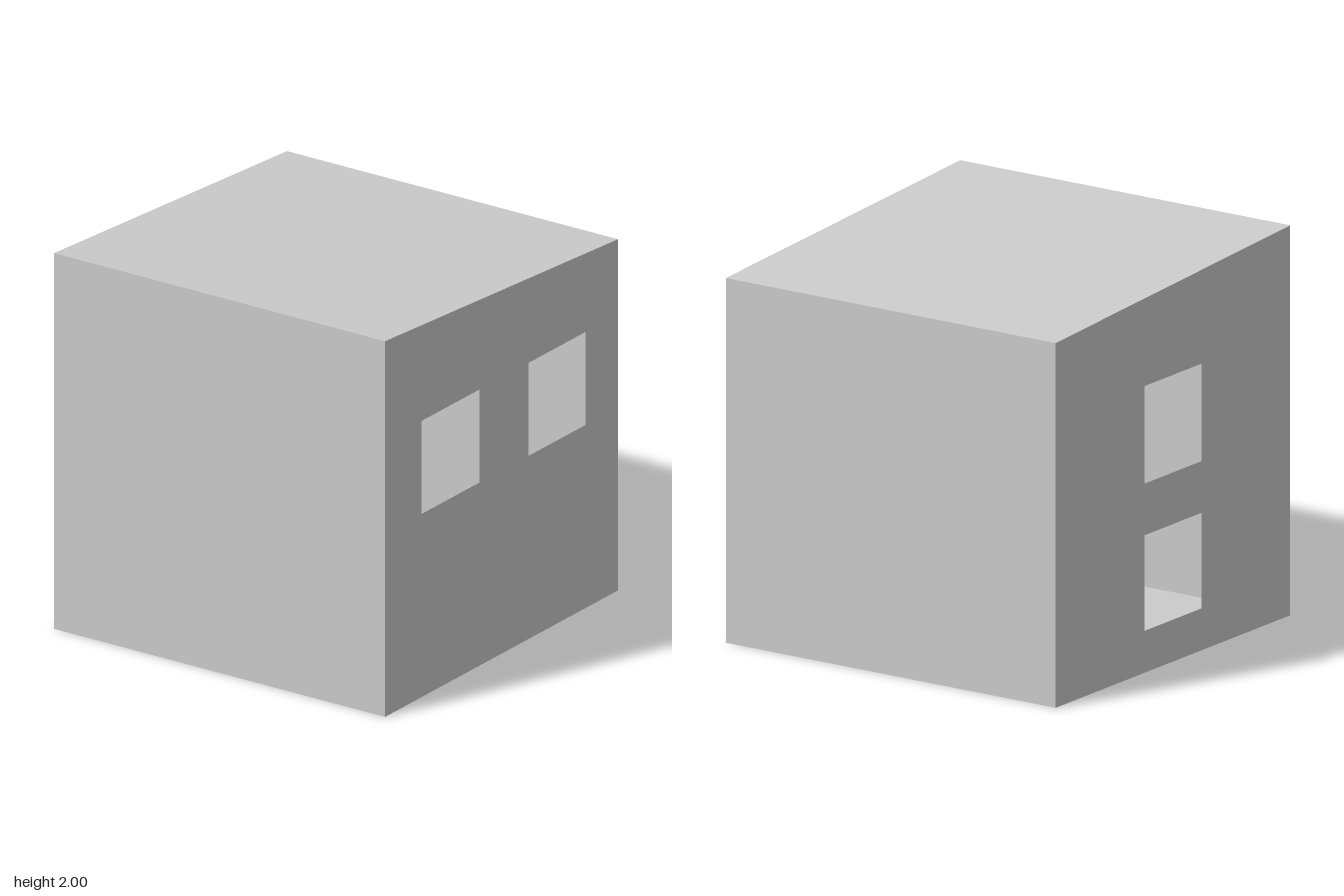
import * as THREE from 'three';

const HALF_X = 1, HALF_Z = 0.995, HIGH = 2, LOW = 1.87;

export function createModel() {
  const house = new THREE.Group();
  house.name = 'house';
  // Thin sheet walls around an empty room
  const material = new THREE.MeshStandardMaterial({ color: 0xcccccc, side: THREE.DoubleSide, flatShading: true });

  function add(name, geometry) {
    const mesh = new THREE.Mesh(geometry, material);
    mesh.name = name;
    house.add(mesh);
    return mesh;
  }

  // Wall with square windows, given as [x0, y0, x1, y1], in its own outside view
  function windowWall(name, leftHeight, rightHeight, windows) {
    const shape = new THREE.Shape([
      new THREE.Vector2(-HALF_X, 0), new THREE.Vector2(HALF_X, 0),
      new THREE.Vector2(HALF_X, rightHeight), new THREE.Vector2(-HALF_X, leftHeight),
    ]);
    for (const [x0, y0, x1, y1] of windows) {
      shape.holes.push(new THREE.Path([
        new THREE.Vector2(x0, y0), new THREE.Vector2(x0, y1),
        new THREE.Vector2(x1, y1), new THREE.Vector2(x1, y0),
      ]));
    }
    return add(name, new THREE.ShapeGeometry(shape));
  }

  // Front: two windows side by side
  windowWall('frontWall', HIGH, LOW, [
    [-0.685, 0.975, -0.19, 1.47],
    [0.23, 0.975, 0.72, 1.47],
  ]).position.z = HALF_Z;

  // Back: two windows one above the other
  const back = windowWall('backWall', LOW, HIGH, [
    [-0.245, 0.97, 0.245, 1.47],
    [-0.245, 0.215, 0.245, 0.705],
  ]);
  back.rotation.y = Math.PI;
  back.position.z = -HALF_Z;

  // Side walls: the roof is lower on the left (+x)
  for (const [name, side, height] of [['leftWall', 1, LOW], ['rightWall', -1, HIGH]]) {
    const wall = add(name, new THREE.PlaneGeometry(2 * HALF_Z, height));
    wall.rotation.y = side * Math.PI / 2;
    wall.position.set(side * HALF_X, height / 2, 0);
  }

  // Floor, facing down
  add('floor', new THREE.PlaneGeometry(2 * HALF_X, 2 * HALF_Z)).rotation.x = Math.PI / 2;

  // Sloping roof
  const drop = HIGH - LOW;
  const roof = new THREE.PlaneGeometry(Math.hypot(2 * HALF_X, drop), 2 * HALF_Z);
  roof.rotateX(-Math.PI / 2);
  roof.rotateZ(-Math.atan2(drop, 2 * HALF_X));
  add('roof', roof).position.y = (HIGH + LOW) / 2;

  return house;
}
